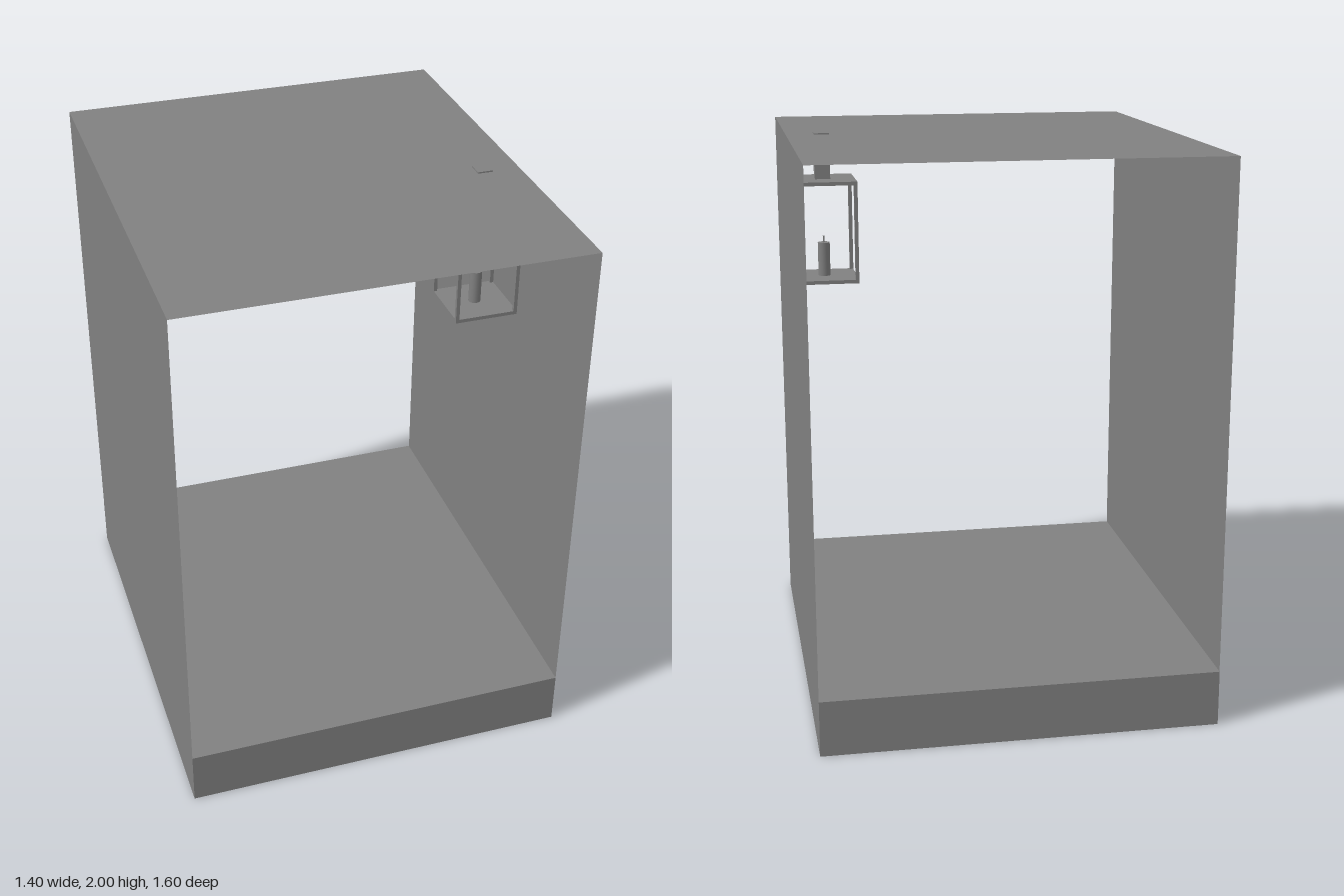
import * as THREE from 'three';

export function createModel() {
  const model = new THREE.Group();
  model.name = 'openRoom';
  const grey = new THREE.MeshStandardMaterial({ color: 0x808080, side: THREE.DoubleSide });
  grey.name = 'grey';

  const add = (parent, name, geometry, x, y, z) => {
    const mesh = new THREE.Mesh(geometry, grey);
    mesh.name = name;
    mesh.position.set(x, y, z);
    parent.add(mesh);
    return mesh;
  };
  const box = (w, h, d) => new THREE.BoxGeometry(w, h, d);

  // Shell: thick floor, paper-thin walls and roof, open front and back
  const floorTop = 0.2, roofY = 1.995, depth = 1.597, shellZ = 0.0015;
  add(model, 'floor', box(1.4, floorTop, 1.6), 0, floorTop / 2, 0);
  for (const side of [-1, 1]) {
    const wall = add(model, side > 0 ? 'leftWall' : 'rightWall',
      new THREE.PlaneGeometry(depth, roofY - floorTop), side * 0.7, (roofY + floorTop) / 2, shellZ);
    wall.rotation.y = side * Math.PI / 2;
  }
  const roof = add(model, 'roof', new THREE.PlaneGeometry(1.4, depth), 0, roofY, shellZ);
  roof.rotation.x = -Math.PI / 2;

  // Lantern hanging from the roof near the left wall
  const lantern = new THREE.Group();
  lantern.name = 'lantern';
  lantern.position.set(0.572, 1.465, 0.12);
  model.add(lantern);
  const width = 0.234, height = 0.37, bar = 0.013;
  add(lantern, 'lanternBase', box(width, bar, width), 0, bar / 2, 0);
  add(lantern, 'lanternTop', box(width, bar, width), 0, height - bar / 2, 0);
  const corner = (width - bar) / 2;
  for (const sx of [-1, 1]) for (const sz of [-1, 1])
    add(lantern, 'lanternPost', box(bar, height - 2 * bar, bar), sx * corner, height / 2, sz * corner);
  add(lantern, 'hanger', box(0.055, 0.165, 0.055), 0, height + 0.0825, 0);

  // Candle and wick
  const candle = new THREE.CylinderGeometry(0.022, 0.022, 0.122, 16);
  add(lantern, 'candle', candle, 0, bar + 0.061, 0);
  add(lantern, 'wick', new THREE.CylinderGeometry(0.003, 0.003, 0.024, 8), 0, bar + 0.134, 0);

  return model;
}
